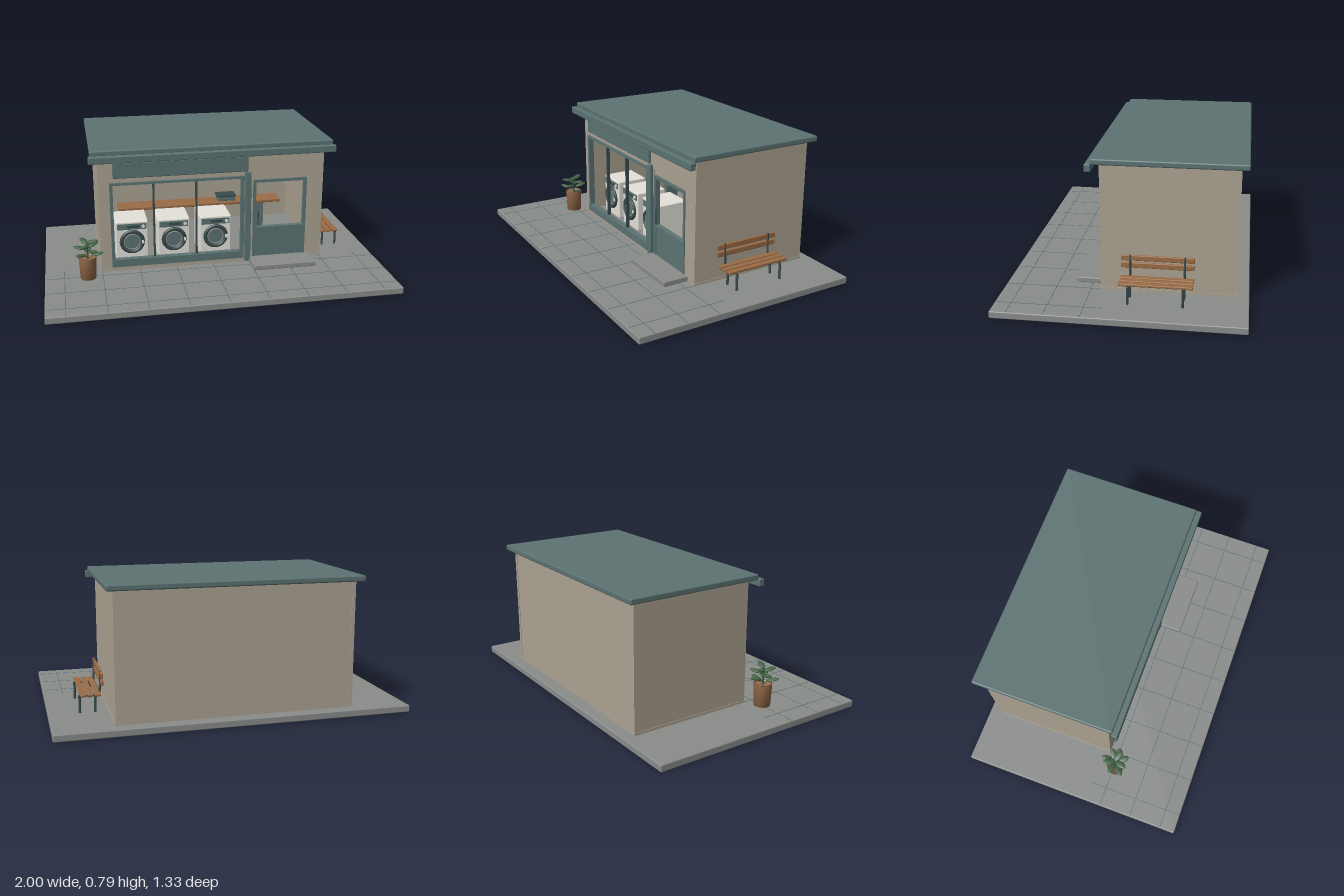
import * as THREE from 'three';
import { RoundedBoxGeometry } from 'three/addons/geometries/RoundedBoxGeometry.js';

const mat = (name, color, side = THREE.FrontSide) => {
  const m = new THREE.MeshStandardMaterial({ color, side });
  m.name = name;
  return m;
};

export function createModel() {
  const teal = mat('teal paint', 0x5c7372);
  const dark = mat('dark metal', 0x3a4c4e);
  const tan = mat('tan wall', 0xaca392);
  const stone = mat('paving grey', 0x8a8d8b);
  const white = mat('appliance white', 0xe4e2da);
  const wood = mat('bench wood', 0x9a6b45);
  const clay = mat('clay pot', 0x91694a);
  const leafGreen = mat('leaf green', 0x456447);

  const root = new THREE.Group();
  root.name = 'laundryShop';

  const group = (name, parent = root) => {
    const g = new THREE.Group();
    g.name = name;
    parent.add(g);
    return g;
  };
  const add = (parent, name, geo, material, x = 0, y = 0, z = 0) => {
    const m = new THREE.Mesh(geo, material);
    m.name = name;
    m.position.set(x, y, z);
    parent.add(m);
    return m;
  };
  // Box given by its limits, optionally with rounded edges
  const box = (parent, name, material, x0, x1, y0, y1, z0, z1, r = 0) => {
    const s = [x1 - x0, y1 - y0, z1 - z0];
    const geo = r ? new RoundedBoxGeometry(...s, 2, r) : new THREE.BoxGeometry(...s);
    return add(parent, name, geo, material, (x0 + x1) / 2, (y0 + y1) / 2, (z0 + z1) / 2);
  };
  const rod = (parent, name, material, a, b, r) => {
    const p = new THREE.Vector3(...a), q = new THREE.Vector3(...b);
    return add(parent, name, new THREE.TubeGeometry(new THREE.LineCurve3(p, q), 1, r, 8), material);
  };

  // Pavement with thin joints
  const ground = group('pavement');
  box(ground, 'slab', stone, -1, 1, 0, 0.04, -0.665, 0.665, 0.006);
  for (let i = -4; i <= 4; i++) {
    const x = i * 0.222;
    box(ground, 'joint', teal, x - 0.002, x + 0.002, 0.038, 0.041, 0.09, 0.66);
  }
  for (const z of [0.19, 0.382, 0.575])
    box(ground, 'joint', teal, -0.995, 0.995, 0.038, 0.041, z - 0.002, z + 0.002);
  box(ground, 'doorStep', stone, 0.22, 0.6, 0.04, 0.07, 0.135, 0.287, 0.005);

  // Walls: the front is one sheet with openings for window and door
  const walls = group('walls');
  const rect = (P, x0, x1, y0, y1) => {
    const p = new P();
    p.moveTo(x0, y0).lineTo(x1, y0).lineTo(x1, y1).lineTo(x0, y1).closePath();
    return p;
  };
  const front = rect(THREE.Shape, -0.65, 0.65, 0.04, 0.757);
  front.holes.push(rect(THREE.Path, -0.6, 0.18, 0.075, 0.585));
  front.holes.push(rect(THREE.Path, 0.23, 0.57, 0.06, 0.59));
  add(walls, 'frontWall', new THREE.ExtrudeGeometry(front, { depth: 0.025, bevelEnabled: false }), tan, 0, 0, 0.112);
  for (const s of [-1, 1]) {
    const x = s * 0.66;
    box(walls, 'sideWall', tan, x - 0.01, x + 0.01, 0.04, 0.757, -0.6, 0.137);
    box(walls, 'sidePlinth', tan, x - 0.013, x + 0.013, 0.04, 0.055, -0.602, 0.139);
  }
  box(walls, 'backWall', tan, -0.65, 0.65, 0.04, 0.757, -0.597, -0.577);
  box(walls, 'floor', stone, -0.65, 0.65, 0.04, 0.058, -0.58, 0.115);

  // Roof, front fascia and blank sign board
  const roof = group('roof');
  box(roof, 'roofSlab', teal, -0.71, 0.71, 0.757, 0.79, -0.64, 0.175, 0.008);
  box(roof, 'fascia', teal, -0.72, 0.72, 0.722, 0.763, 0.172, 0.207, 0.005);
  box(roof, 'signBoard', teal, -0.585, 0.205, 0.617, 0.71, 0.136, 0.157, 0.005);

  // Shop window
  const win = group('shopWindow');
  box(win, 'windowSill', teal, -0.605, 0.185, 0.07, 0.115, 0.118, 0.155);
  box(win, 'windowHead', teal, -0.605, 0.185, 0.574, 0.588, 0.118, 0.152);
  for (const x of [-0.597, 0.176])
    box(win, 'windowJamb', teal, x - 0.009, x + 0.009, 0.07, 0.588, 0.118, 0.152);
  for (const x of [-0.352, -0.1])
    box(win, 'mullion', dark, x - 0.005, x + 0.005, 0.115, 0.575, 0.122, 0.142);
  box(win, 'pilaster', teal, 0.19, 0.226, 0.05, 0.612, 0.135, 0.157, 0.004);

  // Door with open upper light
  const door = group('door');
  box(door, 'transom', tan, 0.23, 0.57, 0.556, 0.592, 0.112, 0.128);
  box(door, 'doorPost', tan, 0.23, 0.245, 0.06, 0.556, 0.112, 0.128);
  for (const x of [0.251, 0.561])
    box(door, 'doorStile', teal, x - 0.008, x + 0.008, 0.06, 0.556, 0.112, 0.142);
  box(door, 'doorTopRail', teal, 0.25, 0.562, 0.54, 0.556, 0.112, 0.142);
  box(door, 'doorPanel', teal, 0.25, 0.562, 0.06, 0.245, 0.114, 0.136);
  box(door, 'doorMidRail', teal, 0.25, 0.562, 0.242, 0.257, 0.112, 0.144);
  rod(door, 'doorHandle', dark, [0.272, 0.27, 0.147], [0.272, 0.36, 0.147], 0.004);

  // Washing machines
  const washer = (cx) => {
    const w = group('washingMachine');
    w.position.set(cx, 0.058, 0.045);
    box(w, 'cabinet', white, -0.098, 0.098, 0, 0.252, -0.2, 0, 0.008);
    box(w, 'controlPanel', teal, -0.087, 0.087, 0.202, 0.238, -0.004, 0.004);
    box(w, 'display', dark, -0.03, 0.045, 0.212, 0.228, 0, 0.006);
    const knob = add(w, 'knob', new THREE.CylinderGeometry(0.01, 0.01, 0.012, 16), white, 0.068, 0.22, 0.005);
    knob.rotation.x = Math.PI / 2;
    add(w, 'doorRing', new THREE.TorusGeometry(0.064, 0.012, 8, 32), dark, 0, 0.125, 0.004);
    const glass = add(w, 'doorGlass', new THREE.CylinderGeometry(0.058, 0.058, 0.012, 32), teal, 0, 0.125, 0.002);
    glass.rotation.x = Math.PI / 2;
    add(w, 'glassRim', new THREE.TorusGeometry(0.047, 0.004, 6, 32), stone, 0, 0.125, 0.008);
    box(w, 'doorCatch', white, 0.058, 0.07, 0.115, 0.135, 0.01, 0.019);
  };
  [-0.477, -0.224, 0.032].forEach(washer);

  // Folding table with a basket, and a hanging lamp
  const table = group('foldingTable');
  box(table, 'tableTop', wood, -0.53, 0.53, 0.25, 0.27, -0.42, -0.3, 0.004);
  for (const x of [-0.4, 0.4])
    box(table, 'tableLeg', teal, x - 0.025, x + 0.025, 0.058, 0.25, -0.4, -0.32);
  box(table, 'basket', teal, 0.12, 0.235, 0.27, 0.305, -0.4, -0.32, 0.004);
  box(table, 'basketRim', dark, 0.115, 0.24, 0.298, 0.307, -0.405, -0.315);
  const lamp = group('ceilingLamp');
  add(lamp, 'lampGlobe', new THREE.SphereGeometry(0.05, 24, 16), white, -0.355, 0.582, -0.22);
  rod(lamp, 'lampCord', dark, [-0.355, 0.62, -0.22], [-0.355, 0.758, -0.22], 0.004);

  // Outdoor bench
  const bench = group('bench');
  for (const x of [0.73, 0.77, 0.81])
    box(bench, 'seatSlat', wood, x - 0.016, x + 0.016, 0.141, 0.155, -0.373, 0.018, 0.004);
  for (const y of [0.212, 0.253])
    box(bench, 'backSlat', wood, 0.7, 0.713, y - 0.015, y + 0.015, -0.373, 0.018, 0.004);
  for (const z of [-0.322, -0.032]) {
    rod(bench, 'backPost', dark, [0.717, 0.141, z], [0.708, 0.272, z], 0.006);
    rod(bench, 'seatBar', dark, [0.715, 0.137, z], [0.832, 0.137, z], 0.006);
    for (const x of [0.742, 0.827]) rod(bench, 'benchLeg', dark, [x, 0.04, z], [x, 0.141, z], 0.007);
  }

  // Potted plant: flat leaves spiralling up around the stem
  const plant = group('pottedPlant');
  plant.position.set(-0.75, 0.04, 0.2);
  const profile = [[0, 0], [0.046, 0], [0.052, 0.13], [0.045, 0.13], [0.044, 0.118], [0, 0.118]];
  add(plant, 'pot', new THREE.LatheGeometry(profile.map((p) => new THREE.Vector2(...p)), 24), clay);
  rod(plant, 'stem', leafGreen, [0, 0.11, 0], [0, 0.225, 0], 0.005);
  for (let i = 0; i < 9; i++) {
    const a = i * 2.4, h = 0.145 + i * 0.0105, d = 0.056 - i * 0.003;
    const x = Math.cos(a) * d, z = Math.sin(a) * d;
    rod(plant, 'leafStalk', leafGreen, [0, h - 0.03, 0], [x * 0.7, h, z * 0.7], 0.003);
    const leaf = add(plant, 'leaf', new THREE.SphereGeometry(1, 12, 8), leafGreen, x, h, z);
    leaf.scale.set(0.037, 0.008, 0.019);
    leaf.rotation.set(0, -a, 0.2);
  }
  return root;
}
